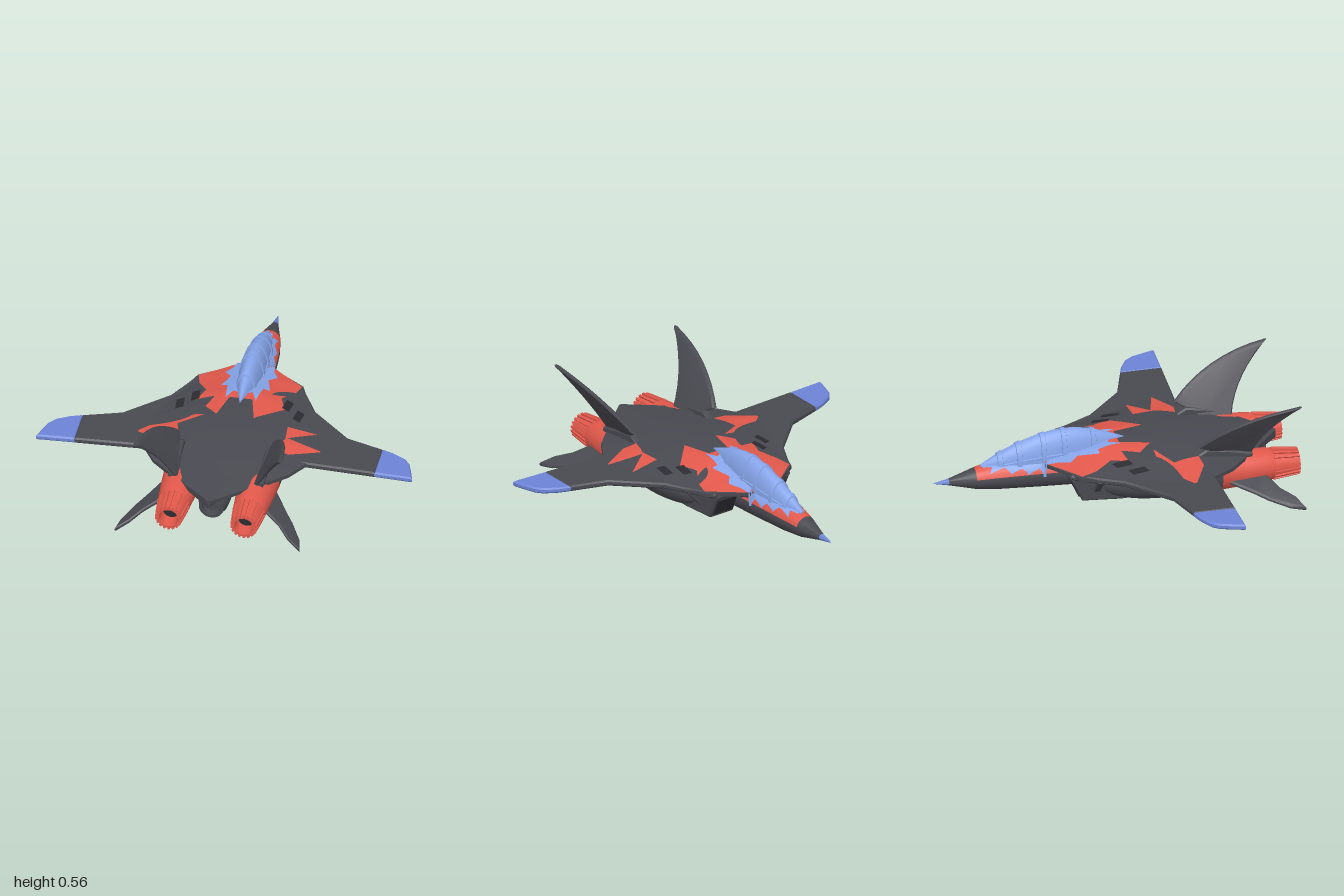
import * as THREE from 'three';
import { toCreasedNormals } from 'three/addons/utils/BufferGeometryUtils.js';

const DARK = 0x494951, BLACK = 0x2b2b31, RED = 0xe2584b, BLUE = 0x86a5ea, TIP = 0x6c84d6;

// Section tables, first column is z.
// Fuselage: z, centre y, half width, height above, depth below
const FUSELAGE = [
  [-0.95, 0.15, 0.002, 0.002, 0.002], [-0.87, 0.15, 0.018, 0.018, 0.018], [-0.73, 0.155, 0.058, 0.057, 0.057],
  [-0.6, 0.16, 0.08, 0.08, 0.075], [-0.4, 0.16, 0.092, 0.088, 0.085], [-0.2, 0.155, 0.095, 0.085, 0.09],
  [0.1, 0.145, 0.09, 0.08, 0.09], [0.6, 0.148, 0.086, 0.08, 0.086], [0.76, 0.15, 0.08, 0.078, 0.08],
];
// Deck: z, half width, top y
const DECK = [
  [-0.37, 0.09, 0.245], [-0.32, 0.15, 0.25], [-0.23, 0.28, 0.265], [-0.18, 0.3, 0.272], [-0.02, 0.375, 0.3],
  [0.34, 0.5, 0.292], [0.57, 0.36, 0.268], [0.7, 0.22, 0.25], [0.885, 0.008, 0.236],
];
// Canopy: z, half width, top y
const CANOPY = [
  [-0.7, 0.008, 0.232], [-0.6, 0.044, 0.287], [-0.5, 0.058, 0.332], [-0.4, 0.064, 0.364], [-0.3, 0.067, 0.384],
  [-0.2, 0.064, 0.386], [-0.1, 0.055, 0.367], [0, 0.034, 0.33], [0.07, 0.004, 0.302],
];

function sample(table, z) {
  let i = 0;
  while (i < table.length - 2 && z > table[i + 1][0]) i++;
  const a = table[i], b = table[i + 1];
  const t = THREE.MathUtils.clamp((z - a[0]) / (b[0] - a[0]), 0, 1);
  return a.map((v, k) => v + (b[k] - v) * t);
}
const slice = (table, z0, z1) =>
  [sample(table, z0), ...table.filter(r => r[0] > z0 + 1e-4 && r[0] < z1 - 1e-4), sample(table, z1)];

// Skin through rings of [x, y, z], counter-clockwise seen from +z
function loft(rings, closed = true) {
  const n = rings[0].length, idx = [];
  for (let s = 0; s < rings.length - 1; s++)
    for (let i = 0; i < (closed ? n : n - 1); i++) {
      const j = (i + 1) % n, a = s * n + i, b = s * n + j;
      idx.push(a, b, b + n, a, b + n, a + n);
    }
  const last = (rings.length - 1) * n;
  if (closed) for (let i = 1; i < n - 1; i++) idx.push(0, i + 1, i, last, last + i, last + i + 1);
  const g = new THREE.BufferGeometry();
  g.setAttribute('position', new THREE.Float32BufferAttribute(rings.flat(2), 3));
  g.setIndex(idx);
  return g;
}
const fuselageRing = ([z, cy, rx, up, down], from = 0, to = Math.PI * 2, n = 24, k = 1) =>
  Array.from({ length: n }, (_, i) => {
    const a = from + (to - from) * i / (to - from > 6 ? n : n - 1), s = Math.sin(a);
    return [rx * k * Math.cos(a), cy + (s > 0 ? up : down) * k * s, z];
  });
const canopyRing = ([z, rx, top], grow = 0) =>
  Array.from({ length: 17 }, (_, i) => {
    const a = Math.PI * i / 16;
    return [(rx + grow) * Math.cos(a), 0.2 + (top + grow - 0.2) * Math.sin(a) ** 0.8, z];
  });

// Height of the upper skin
function skinY(x, z) {
  x = Math.abs(x);
  const [, cy, rx, up] = sample(FUSELAGE, z);
  const [, w, top] = sample(DECK, z);
  const body = x < rx ? cy + up * Math.sqrt(1 - (x / rx) ** 2) : cy;
  const deck = z < -0.37 ? 0 : 0.235 + (top - 0.235) * THREE.MathUtils.clamp((1 - x / w) / 0.75, 0, 1);
  return Math.max(body, deck);
}
const shapeOf = pts => new THREE.Shape(pts.map(([x, z]) => new THREE.Vector2(x, -z)));

// Paint patch that follows the upper skin; points are [x, z]
function drape(pts, lift) {
  let tris = [];
  const g = new THREE.ShapeGeometry(shapeOf(pts)).toNonIndexed(), p = g.attributes.position;
  for (let i = 0; i < p.count; i += 3) tris.push([0, 1, 2].map(k => [p.getX(i + k), -p.getY(i + k)]));
  const mid = (a, b) => [(a[0] + b[0]) / 2, (a[1] + b[1]) / 2];
  for (let d = 0; d < 4; d++)
    tris = tris.flatMap(([a, b, c]) => {
      const ab = mid(a, b), bc = mid(b, c), ca = mid(c, a);
      return [[a, ab, ca], [ab, b, bc], [ca, bc, c], [ab, bc, ca]];
    });
  const out = new THREE.BufferGeometry();
  out.setAttribute('position', new THREE.Float32BufferAttribute(
    tris.flat().flatMap(([x, z]) => [x, skinY(x, z) + lift, z]), 3));
  return out;
}

// Bevelled sheet, thickness centred on local z = 0
function sheet(shape, t, bevel) {
  return new THREE.ExtrudeGeometry(shape, { depth: t - 2 * bevel, bevelEnabled: bevel > 0, bevelThickness: bevel,
    bevelSize: bevel, bevelOffset: -bevel, bevelSegments: 1, curveSegments: 8 }).translate(0, 0, bevel - t / 2);
}
const plan = (pts, t, bevel, y) => sheet(shapeOf(pts), t, bevel).rotateX(-Math.PI / 2).translate(0, y, 0);
// Side profile of [z, y] points, extruded across x
const side = (pts, t, bevel, x) =>
  sheet(new THREE.Shape(pts.map(([z, y]) => new THREE.Vector2(-z, y))), t, bevel).rotateY(Math.PI / 2).translate(x, 0, 0);
const turned = (pts, x, y) =>
  new THREE.LatheGeometry(pts.map(([r, z]) => new THREE.Vector2(r, z)), 28).rotateX(Math.PI / 2).translate(x, y, 0);
function warp(g, rule) {
  const p = g.attributes.position;
  for (let i = 0; i < p.count; i++) p.setXYZ(i, ...rule(p.getX(i), p.getY(i), p.getZ(i)));
  return g;
}
// Mirror across x = 0, keeping faces outward
function mirrored(g) {
  const m = (g.index ? g.toNonIndexed() : g.clone()).scale(-1, 1, 1), a = m.attributes.position.array;
  for (let i = 0; i < a.length; i += 9)
    for (let k = 0; k < 3; k++) [a[i + k], a[i + 6 + k]] = [a[i + 6 + k], a[i + k]];
  m.computeVertexNormals();
  return m;
}

export function createModel() {
  const model = new THREE.Group();
  function add(name, geo, color, open = false) {
    geo.computeVertexNormals();
    const mat = new THREE.MeshStandardMaterial({ color });
    if (open) mat.side = THREE.DoubleSide;
    const mesh = new THREE.Mesh(toCreasedNormals(geo, 0.55), mat);
    mesh.name = name;
    model.add(mesh);
  }
  function pair(name, geo, color, open) {
    add(name + 'Left', geo, color, open);
    add(name + 'Right', mirrored(geo), color, open);
  }

  // Fuselage and nose
  add('noseTip', loft(slice(FUSELAGE, -0.95, -0.87).map(r => fuselageRing(r))), TIP);
  add('fuselage', loft(slice(FUSELAGE, -0.87, 0.76).map(r => fuselageRing(r))), DARK);
  add('noseBand', loft(slice(FUSELAGE, -0.73, -0.3).map(r => fuselageRing(r, 0.25, Math.PI - 0.25, 21, 1.015)), false), RED, true);
  add('tailPipe', turned([[0.079, 0.75], [0.065, 0.82], [0.05, 0.82], [0.045, 0.78], [0, 0.78]], 0, 0.15), DARK);

  // Broad upper deck
  add('deck', loft(DECK.map(([z, w, top]) => {
    const half = [[w, 0.215], [w, 0.235], [0.25 * w, top]];
    return [...half, ...half.slice().reverse().map(([x, y]) => [-x, y]), [-0.4 * w, 0.19], [0.4 * w, 0.19]]
      .map(([x, y]) => [x, y, z]);
  })), DARK);

  // Paint patches
  pair('shoulderPaint', drape([[0.07, -0.37], [0.1, -0.36], [0.16, -0.31], [0.275, -0.22], [0.255, -0.14], [0.2, -0.05],
    [0.235, 0.05], [0.1, 0.19], [0.06, 0.03], [0, 0.03], [0, -0.37]], 0.003), RED, true);
  add('deckPaintLeft', drape([[0.28, 0.19], [0.44, 0.19], [0.3, 0.29], [0.495, 0.34], [0.33, 0.42], [0.25, 0.41], [0.29, 0.3]], 0.003), RED, true);
  add('deckPaintRight', drape([[-0.495, 0.34], [-0.33, 0.19], [-0.16, 0.19], [-0.29, 0.27], [-0.25, 0.41], [-0.33, 0.42]], 0.003), RED, true);
  pair('jaggedPaint', drape([[0, -0.69], [0.025, -0.69], [0.03, -0.64], [0.06, -0.66], [0.056, -0.58], [0.078, -0.55], [0.07, -0.49],
    [0.087, -0.46], [0.08, -0.4], [0.1, -0.37], [0.11, -0.31], [0.14, -0.25], [0.1, -0.2], [0.13, -0.09], [0.095, -0.09],
    [0.08, 0.04], [0.05, -0.03], [0, 0]], 0.006), BLUE, true);

  // Canopy with hoops and sill rails
  add('canopy', loft(CANOPY.map(r => canopyRing(r))), BLUE);
  for (const z of [-0.6, -0.5, -0.37, -0.26, -0.1])
    add('canopyHoop', loft([[-0.014, 0], [-0.012, 0.006], [0.012, 0.006], [0.014, 0]]
      .map(([d, grow]) => canopyRing(sample(CANOPY, z + d), grow))), BLUE);
  pair('canopyRail', new THREE.TubeGeometry(new THREE.CatmullRomCurve3(slice(CANOPY, -0.66, 0)
    .map(([z, rx, top]) => new THREE.Vector3(rx * 0.96, 0.2 + (top - 0.2) * 0.36, z))), 24, 0.006, 6), BLUE);

  // Wings with coloured tips
  pair('wing', plan([[0.2, -0.22], [0.29, -0.2], [0.385, -0.02], [0.6, 0.185], [0.8, 0.25], [0.8, 0.472], [0.4, 0.455], [0.2, 0.45]],
    0.032, 0.008, 0.224), DARK);
  pair('wingTip', plan([[0.795, 0.248], [0.86, 0.27], [0.93, 0.31], [0.96, 0.35], [0.98, 0.41], [1, 0.48], [0.795, 0.472]],
    0.031, 0.008, 0.224), TIP);

  // Intakes under the shoulders
  pair('intake', side([[-0.27, 0.205], [-0.21, 0.075], [0, 0.06], [0.35, 0.07], [0.55, 0.12], [0.55, 0.205]], 0.16, 0.008, 0.16), DARK);
  pair('intakeMouth', new THREE.BoxGeometry(0.12, 0.1, 0.008).rotateX(-0.43).translate(0.16, 0.14, -0.243), BLACK);
  pair('intakeStrut', new THREE.BoxGeometry(0.016, 0.14, 0.03).rotateZ(-0.75).translate(0.27, 0.165, -0.13), DARK);
  pair('shoulderHinge', new THREE.CylinderGeometry(0.018, 0.018, 0.14, 10).rotateX(Math.PI / 2).rotateY(0.5).translate(0.26, 0.218, -0.2), DARK);

  // Deck vents
  for (const [x, z] of [[0.25, 0], [0.32, 0.07]])
    pair('vent', drape([[x - 0.02, z - 0.05], [x + 0.02, z - 0.03], [x + 0.01, z + 0.06], [x - 0.03, z + 0.04]], 0.005), BLACK, true);

  // Engines
  const ey = 0.146, nose = [];
  for (let i = 0; i <= 10; i++) {
    const a = Math.PI / 2 * i / 10;
    nose.push([0.112 * Math.sin(a), 0.26 - 0.38 * Math.cos(a)]);
  }
  pair('nacelle', turned([...nose, [0.106, 0.53]], 0.2, ey), DARK);
  pair('engineCasing', turned([[0.106, 0.53], [0.098, 0.66], [0.088, 0.79], [0.08, 0.82], [0.07, 0.82]], 0.2, ey), RED);
  pair('nozzle', turned([[0.079, 0.8], [0.062, 0.955], [0.05, 0.955], [0.044, 0.88]], 0.2, ey), RED);
  pair('nozzleCore', turned([[0.05, 0.93], [0.044, 0.88], [0.026, 0.88], [0.02, 0.9], [0, 0.9]], 0.2, ey), BLACK);
  for (let i = 0; i < 18; i++)
    pair('nozzleRib', new THREE.BoxGeometry(0.012, 0.012, 0.14).rotateX(0.11).translate(0, 0.073, 0.885)
      .rotateZ(i * Math.PI / 9).translate(0.2, ey, 0), RED);

  // Canted tail fins with sickle outline
  const fin = new THREE.Shape();
  fin.moveTo(-0.405, 0.325);
  fin.bezierCurveTo(-0.52, 0.44, -0.7, 0.535, -0.93, 0.562);
  fin.bezierCurveTo(-0.82, 0.47, -0.73, 0.37, -0.7, 0.23);
  fin.lineTo(-0.55, 0.23);
  fin.lineTo(-0.48, 0.28);
  pair('tailFin', warp(sheet(fin, 0.026, 0.008).rotateY(Math.PI / 2), (x, y, z) => [x + 0.215 + (y - 0.24) * 0.54, y, z]), DARK);
  pair('finRoot', side([[0.41, 0.27], [0.46, 0.3], [0.6, 0.275], [0.7, 0.25], [0.7, 0.225], [0.41, 0.225]], 0.04, 0.008, 0.235), DARK);

  // Drooping rear fins
  pair('ventralFin', warp(plan([[0.24, 0.52], [0.3, 0.57], [0.37, 0.68], [0.42, 0.75], [0.475, 0.85], [0.492, 0.93],
    [0.42, 0.89], [0.36, 0.82], [0.25, 0.75]], 0.024, 0.007, 0), (x, y, z) => [x, y + 0.115 - 0.5 * (x - 0.29), z]), DARK);
  return model;
}
